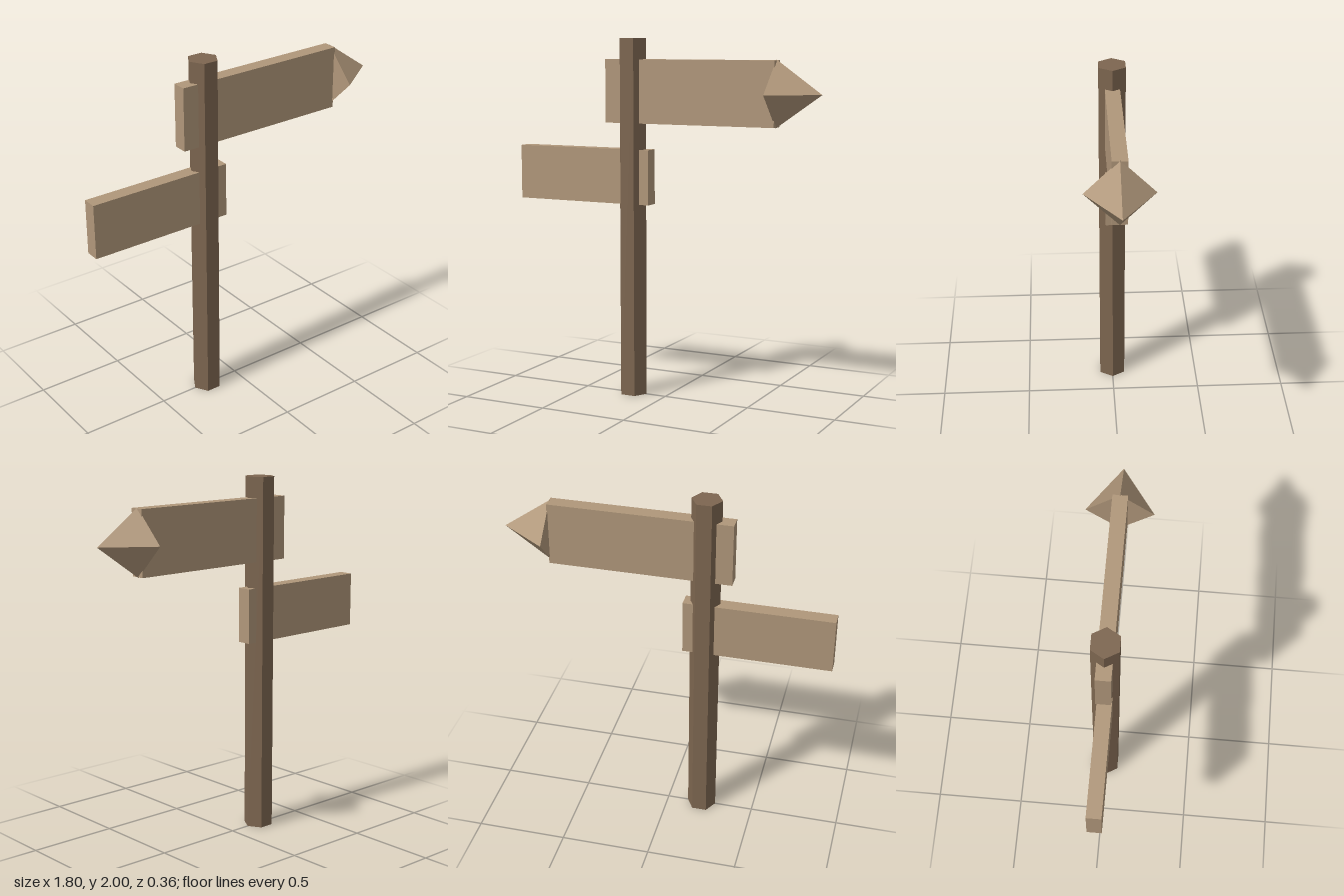
import * as THREE from 'three';

export function createModel() {
  const group = new THREE.Group();
  const material = (color) => new THREE.MeshStandardMaterial({ color, flatShading: true });
  const darkWood = material(0x7d6650);
  const lightWood = material(0xb0977a);

  const add = (name, geometry, mat, x, y) => {
    const mesh = new THREE.Mesh(geometry, mat);
    mesh.name = name;
    mesh.position.set(x, y, 0);
    group.add(mesh);
  };

  // Board spanning the given x and y ranges
  const addBoard = (name, x0, x1, y0, y1) =>
    add(name, new THREE.BoxGeometry(x1 - x0, y1 - y0, 0.08), lightWood, (x0 + x1) / 2, (y0 + y1) / 2);

  // Hexagonal post with corners pointing to the sides
  add('post', new THREE.CylinderGeometry(0.082, 0.082, 2, 6).rotateY(Math.PI / 2), darkWood, -0.2, 1);

  // Two sign boards passing through the post
  addBoard('upperBoard', -0.35, 0.65, 1.535, 1.885);
  addBoard('lowerBoard', -0.905, -0.085, 1.085, 1.39);

  // Four-sided pyramid pointing along +x
  add('arrowTip', new THREE.ConeGeometry(0.18, 0.255, 4).rotateZ(-Math.PI / 2), lightWood, 0.7725, 1.71);

  return group;
}
